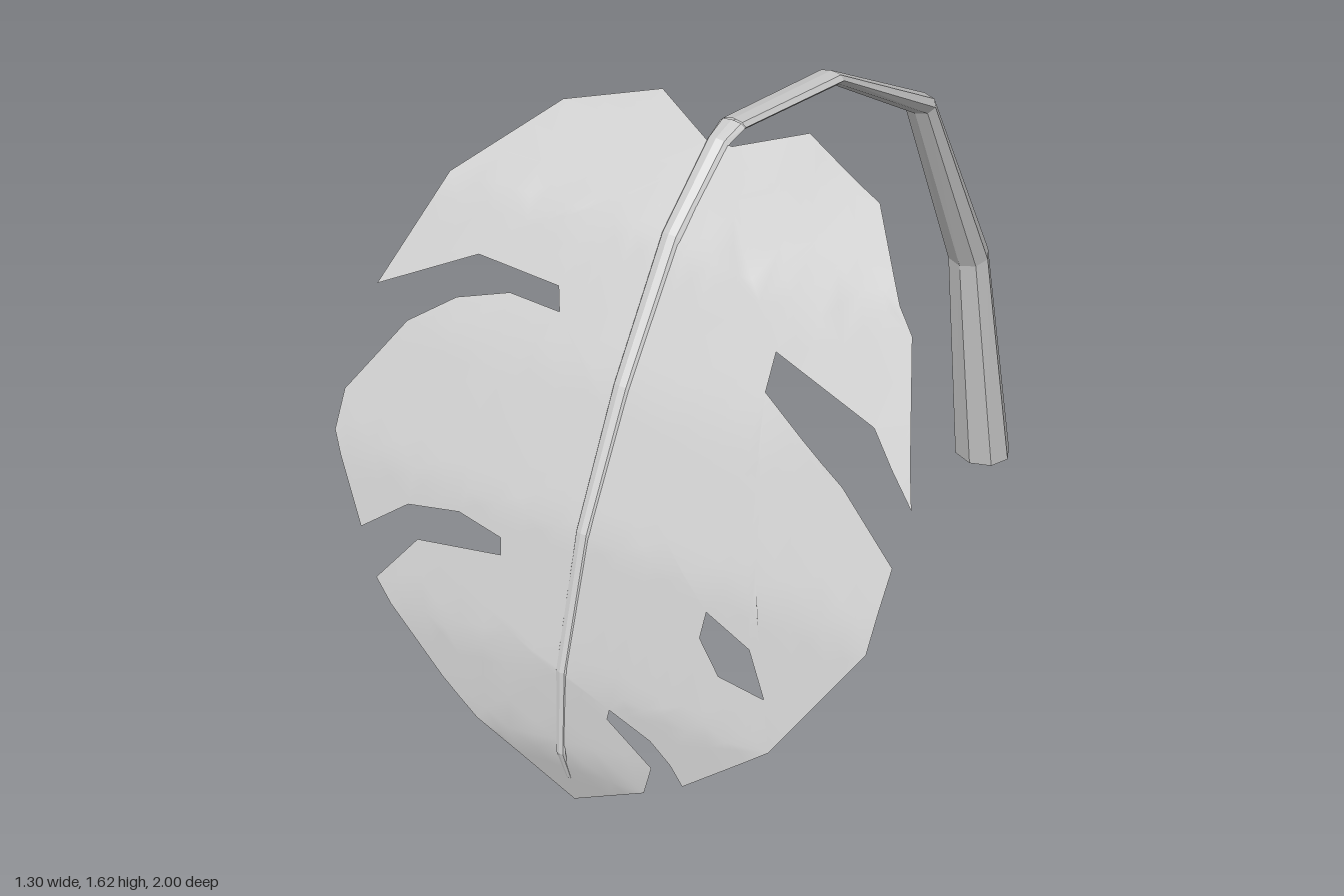
import * as THREE from 'three';
import { mergeVertices } from 'three/addons/utils/BufferGeometryUtils.js';

// Drooping curve of the blade: [height, depth] pairs from top to tip
const DROOP = [[1.63, 0.285], [1.575, 0.365], [1.44, 0.53], [1.185, 0.71], [0.915, 0.86], [0.62, 0.96], [0.41, 0.985], [0.235, 0.945]];

function bladeZ(x, y) {
  let i = 0;
  while (i < DROOP.length - 2 && y < DROOP[i + 1][0]) i++;
  const [y0, z0] = DROOP[i], [y1, z1] = DROOP[i + 1];
  return z0 + (z1 - z0) * (y - y0) / (y1 - y0) - 0.055 * x;
}

// Blade outline with its splits, seen from the front
const OUTLINE = [
  [-0.03, 1.575], [-0.18, 1.622], [-0.38, 1.577], [-0.55, 1.44], [-0.64, 1.22], [-0.42, 1.32], [-0.215, 1.31],
  [-0.195, 1.27], [-0.32, 1.275], [-0.44, 1.24], [-0.54, 1.175], [-0.655, 1.015], [-0.655, 0.935], [-0.555, 0.755],
  [-0.44, 0.84], [-0.31, 0.865], [-0.2, 0.845], [-0.195, 0.81], [-0.405, 0.775], [-0.5, 0.66], [-0.32, 0.48],
  [-0.14, 0.335], [-0.02, 0.235], [0.195, 0.395], [0.215, 0.473], [0.105, 0.55], [0.11, 0.575], [0.21, 0.54],
  [0.26, 0.5], [0.29, 0.46], [0.48, 0.63], [0.64, 0.89], [0.645, 1.045], [0.505, 1.145], [0.295, 1.25],
  [0.29, 1.315], [0.53, 1.25], [0.65, 1.145], [0.545, 1.4], [0.375, 1.555], [0.17, 1.615], [0.03, 1.575],
];
const HOLE = [[0.295, 0.855], [0.4, 0.815], [0.45, 0.73], [0.345, 0.74], [0.29, 0.8]];

const toPoints = (list) => list.map(([x, y]) => new THREE.Vector2(x, y));

// Flat shape, split finely and then bent along the droop curve
function bladeGeometry() {
  const shape = new THREE.Shape(toPoints(OUTLINE));
  shape.holes.push(new THREE.Path(toPoints(HOLE)));
  const flat = new THREE.ShapeGeometry(shape);
  const pos = flat.attributes.position, index = flat.index.array;
  const out = [];

  // Halve the longest edge until every edge is short
  const split = (a, b, c) => {
    const ab = a.distanceTo(b), bc = b.distanceTo(c), ca = c.distanceTo(a);
    const longest = Math.max(ab, bc, ca);
    if (longest < 0.09) {
      for (const p of [a, b, c]) out.push(p.x, p.y, bladeZ(p.x, p.y));
    } else if (longest === ab) {
      const m = a.clone().add(b).multiplyScalar(0.5);
      split(a, m, c);
      split(m, b, c);
    } else if (longest === bc) split(b, c, a);
    else split(c, a, b);
  };
  const corner = (i) => new THREE.Vector2(pos.getX(index[i]), pos.getY(index[i]));
  for (let i = 0; i < index.length; i += 3) split(corner(i), corner(i + 1), corner(i + 2));

  let geo = new THREE.BufferGeometry();
  geo.setAttribute('position', new THREE.Float32BufferAttribute(out, 3));
  geo = mergeVertices(geo, 1e-5);
  geo.computeVertexNormals();
  return geo;
}

// Faceted tube from rings {x, y, z, rx: half width, rn: half thickness}
function ringTube(rings, sides) {
  const verts = [], index = [];
  rings.forEach((r, i) => {
    const a = rings[Math.max(i - 1, 0)], b = rings[Math.min(i + 1, rings.length - 1)];
    // the first ring may be cut level with the ground
    const ty = r.level ? 1 : b.y - a.y, tz = r.level ? 0 : b.z - a.z;
    const len = Math.hypot(ty, tz);
    for (let s = 0; s < sides; s++) {
      const t = (s / sides) * Math.PI * 2;
      const n = Math.sin(t) * r.rn;
      verts.push(r.x + Math.cos(t) * r.rx, r.y + n * tz / len, r.z - n * ty / len);
      if (i > 0) {
        const s1 = (s + 1) % sides, p = (i - 1) * sides, q = i * sides;
        index.push(p + s, p + s1, q + s1, p + s, q + s1, q + s);
      }
    }
  });
  const geo = new THREE.BufferGeometry();
  geo.setAttribute('position', new THREE.Float32BufferAttribute(verts, 3));
  geo.setIndex(index);
  geo.computeVertexNormals();
  return geo;
}

export function createModel() {
  const group = new THREE.Group();
  group.name = 'leaf';
  const add = (name, geometry, flatShading) => {
    const material = new THREE.MeshStandardMaterial({ color: 0xcccccc, side: THREE.DoubleSide, flatShading });
    const mesh = new THREE.Mesh(geometry, material);
    mesh.name = name;
    group.add(mesh);
  };

  // Split leaf blade
  add('blade', bladeGeometry(), false);

  // Arching stalk, open at the foot
  add('stalk', ringTube([
    { x: -0.035, y: 0, z: -0.925, rx: 0.083, rn: 0.075, level: true },
    { x: -0.03, y: 0.74, z: -0.77, rx: 0.058, rn: 0.048 },
    { x: -0.02, y: 1.305, z: -0.47, rx: 0.043, rn: 0.028 },
    { x: -0.01, y: 1.543, z: -0.06, rx: 0.035, rn: 0.014 },
    { x: -0.005, y: 1.592, z: 0.31, rx: 0.031, rn: 0.012 },
  ], 8), true);

  // Midrib along the blade, tapering to the tip
  const heights = [1.575, 1.44, 1.185, 0.915, 0.62, 0.41, 0.32];
  const rib = heights.map((y, i) => {
    const k = 1 - i / heights.length;
    const x = -0.005 - 0.01 * (1 - k);
    return { x, y, z: bladeZ(x, y) - 0.004, rx: 0.006 + 0.02 * k, rn: 0.004 + 0.01 * k };
  });
  rib.unshift({ x: -0.005, y: 1.592, z: 0.31, rx: 0.031, rn: 0.012 });
  add('midrib', ringTube(rib, 8), true);

  return group;
}
